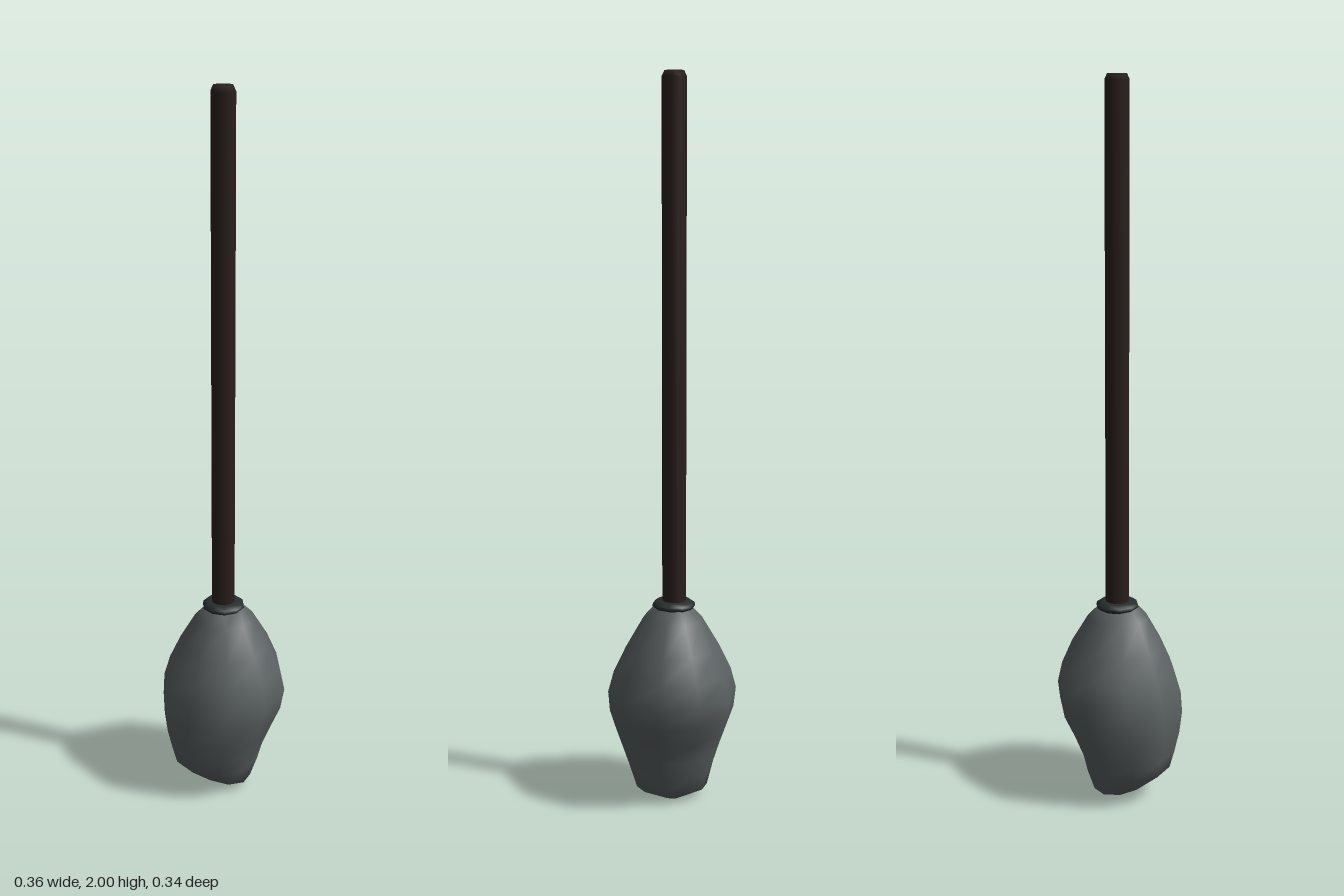
import * as THREE from 'three';

const SIDES = 10;

function part(name, geometry, color, flatShading = false) {
  const mesh = new THREE.Mesh(geometry, new THREE.MeshStandardMaterial({ color, flatShading }));
  mesh.name = name;
  return mesh;
}

// Closed skin over horizontal rings [y, half width, front z, back z], listed upwards
function loft(rings) {
  const pos = [], index = [], n = rings.length;
  for (const [y, rx, front, back] of rings) {
    const mid = (front + back) / 2;
    const rz = (front - back) / 2 / Math.sin(Math.PI * 0.4);
    for (let i = 0; i < SIDES; i++) {
      const a = (i / SIDES) * Math.PI * 2;
      pos.push(rx * Math.cos(a), y, mid + rz * Math.sin(a));
    }
  }
  for (let r = 0; r < n - 1; r++) {
    for (let i = 0; i < SIDES; i++) {
      const a = r * SIDES + i, b = r * SIDES + (i + 1) % SIDES;
      index.push(a, a + SIDES, b, b, a + SIDES, b + SIDES);
    }
  }
  // End caps
  const top = (n - 1) * SIDES;
  for (let i = 1; i < SIDES - 1; i++) {
    index.push(0, i, i + 1, top, top + i + 1, top + i);
  }
  const g = new THREE.BufferGeometry();
  g.setAttribute('position', new THREE.Float32BufferAttribute(pos, 3));
  g.setIndex(index);
  g.computeVertexNormals();
  return g;
}

function lathe(points, sides) {
  // Quarter turn puts a corner on the x axis
  return new THREE.LatheGeometry(points.map(([r, y]) => new THREE.Vector2(r, y)), sides, Math.PI / 2);
}

export function createModel() {
  const model = new THREE.Group();
  model.name = 'broom';

  // Swollen head, leaning forward at the tip and pinched at the back
  model.add(part('head', loft([
    [0.005, 0.025, 0.005, -0.03],
    [0.03, 0.1, 0.075, -0.06],
    [0.09, 0.12, 0.145, -0.092],
    [0.14, 0.137, 0.157, -0.1],
    [0.2, 0.157, 0.169, -0.125],
    [0.26, 0.175, 0.174, -0.157],
    [0.32, 0.18, 0.168, -0.17],
    [0.38, 0.164, 0.15, -0.158],
    [0.45, 0.13, 0.122, -0.13],
    [0.53, 0.083, 0.08, -0.085],
    [0.57, 0.045, 0.044, -0.048],
  ]), 0x5b6162));

  // Binding collar where the handle enters the head
  const collar = part('collar', lathe([
    [0.03, 0.556], [0.05, 0.556], [0.06, 0.565], [0.058, 0.573], [0.046, 0.581], [0.03, 0.581],
  ], SIDES), 0x262d2d);
  collar.position.set(-0.004, 0, -0.003);
  model.add(collar);

  // Straight handle with a softened end
  const handle = part('handle', lathe([
    [0, 0.54], [0.033, 0.54], [0.033, 1.985], [0.026, 2], [0, 2],
  ], SIDES), 0x2a1f1c);
  handle.position.set(-0.005, 0, -0.003);
  model.add(handle);

  return model;
}
